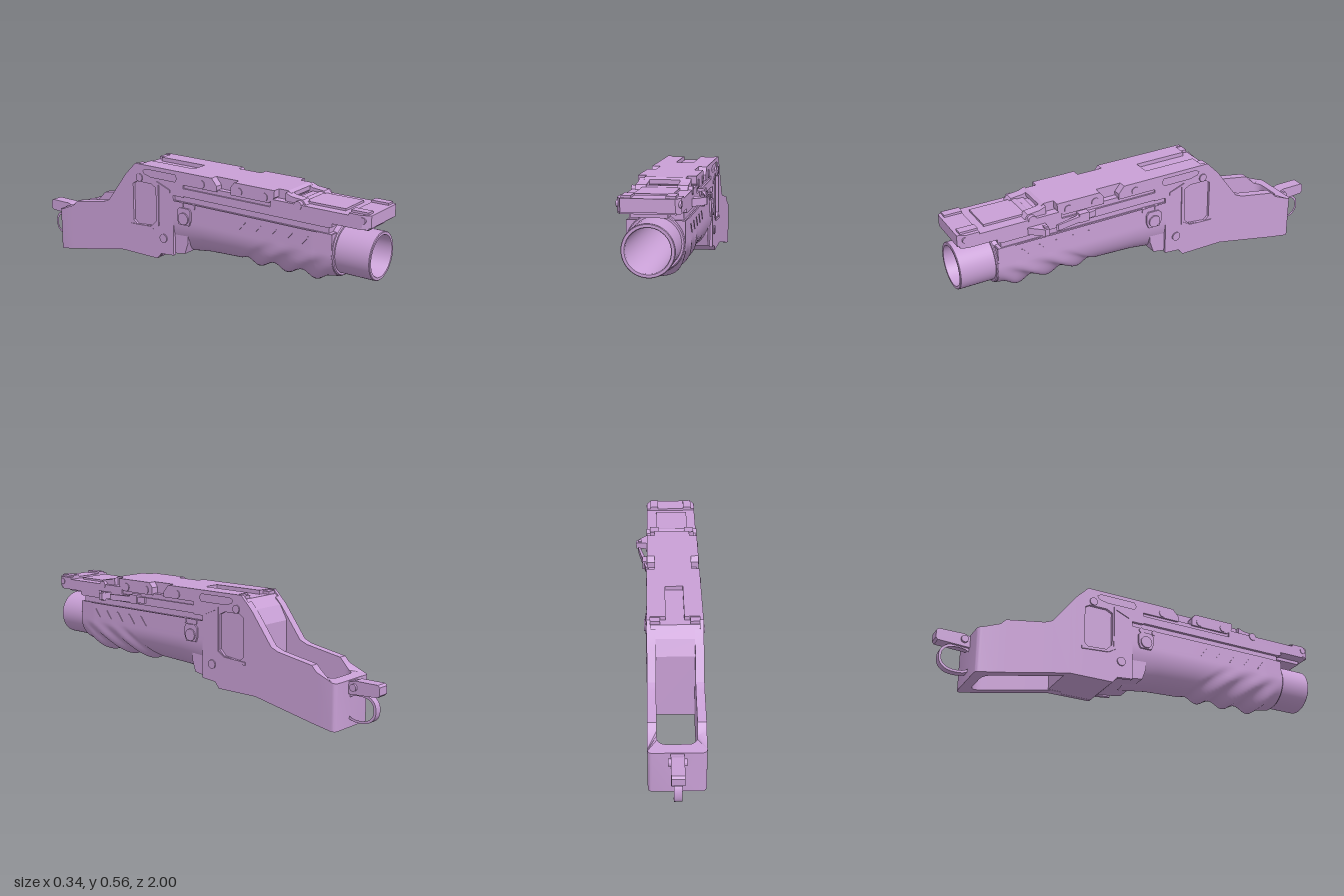
import * as THREE from 'three';
import { toCreasedNormals } from 'three/addons/utils/BufferGeometryUtils.js';

const body = new THREE.MeshStandardMaterial({ color: 0xc9a0d6 });
body.name = 'mauve body';
const round = new THREE.MeshStandardMaterial({ color: 0xa3a8dc });
round.name = 'pale blue round';

const HALF = 0.131; // half width of the housing

export function createModel() {
  const model = new THREE.Group();
  model.name = 'launcher';
  model.position.x = -0.024;

  const add = (name, geo, mat = body) => {
    const m = new THREE.Mesh(geo, mat);
    m.name = name;
    model.add(m);
    return m;
  };
  const box = (name, x0, x1, y0, y1, z0, z1) => {
    const g = new THREE.BoxGeometry(x1 - x0, y1 - y0, z1 - z0);
    add(name, g.translate((x0 + x1) / 2, (y0 + y1) / 2, (z0 + z1) / 2));
  };
  const boxPair = (name, x0, x1, ...r) => {
    box(name, x0, x1, ...r);
    box(name, -x1, -x0, ...r);
  };
  const path = (pts, P) => pts.forEach(([a, b], i) => (i ? P.lineTo(-a, b) : P.moveTo(-a, b)));
  // side profile of [z, y] points, extruded from x0 to x1
  const sideGeo = (pts, x0, x1, holes = []) => {
    const s = new THREE.Shape();
    path(pts, s);
    for (const h of holes) { const p = new THREE.Path(); path(h, p); s.holes.push(p); }
    return new THREE.ExtrudeGeometry(s, { depth: x1 - x0, bevelEnabled: false }).rotateY(Math.PI / 2).translate(x0, 0, 0);
  };
  const side = (name, pts, x0, x1, holes) => add(name, sideGeo(pts, x0, x1, holes));
  const sidePair = (name, pts, x0, x1, holes) => {
    side(name, pts, x0, x1, holes);
    side(name, pts, -x1, -x0, holes);
  };
  // plan outline of [x, z] points, extruded from y0 to y1
  const plan = (name, pts, y0, y1) => {
    const s = new THREE.Shape(pts.map(([x, z]) => new THREE.Vector2(x, -z)));
    add(name, new THREE.ExtrudeGeometry(s, { depth: y1 - y0, bevelEnabled: false }).rotateX(-Math.PI / 2).translate(0, y0, 0));
  };
  const lathe = (name, pts, mat) => {
    const g = new THREE.LatheGeometry(pts.map(([r, z]) => new THREE.Vector2(r, z)), 48);
    add(name, toCreasedNormals(g.rotateX(Math.PI / 2).translate(0, 0.31, 0), 0.6), mat);
  };
  const bolts = (name, z, y, r, reach, sides = 20) => {
    const g = new THREE.CylinderGeometry(r, r, reach * 2, sides).rotateZ(Math.PI / 2);
    add(name, toCreasedNormals(g.translate(0, y, z), 0.7));
  };
  // surface through rows of points; fn(i, j) gives a point
  const grid = (nu, nv, fn) => {
    const pos = [], idx = [];
    for (let j = 0; j <= nv; j++) for (let i = 0; i <= nu; i++) pos.push(...fn(i, j));
    for (let j = 0; j < nv; j++) for (let i = 0; i < nu; i++) {
      const a = j * (nu + 1) + i, c = a + nu + 1;
      idx.push(a, c, a + 1, a + 1, c, c + 1);
    }
    const g = new THREE.BufferGeometry();
    g.setAttribute('position', new THREE.Float32BufferAttribute(pos, 3));
    g.setIndex(idx);
    g.computeVertexNormals();
    return g;
  };
  // piecewise linear lookup over [z, value] pairs with falling z
  const lerpAt = (t, z) => {
    if (z >= t[0][0]) return t[0][1];
    for (let i = 1; i < t.length; i++) if (z >= t[i][0]) {
      const [a, b] = [t[i - 1], t[i]];
      return b[1] + (a[1] - b[1]) * (z - b[0]) / (a[0] - b[0]);
    }
    return t[t.length - 1][1];
  };

  // barrel and the round seated in it
  lathe('barrel', [[0.094, 0.04], [0.094, 0.995], [0.097, 1], [0.109, 1], [0.112, 0.997], [0.112, 0.04]].reverse());
  const dome = [[0.094, 0.02], [0.094, 0.06]];
  for (let i = 1; i <= 8; i++) {
    const a = i / 8 * 1.21;
    dome.push([0.094 * Math.cos(a), 0.06 + 0.094 * Math.sin(a)]);
  }
  lathe('round', [...dome, [0, 0.148]], round);
  lathe('barrelCollar', [[0.125, 0.79], [0.125, 0.825], [0.121, 0.83], [0.1, 0.83]]);

  // handguard with slanted ribs on the lower half
  const depth = [[0.82, 0.128], [0.72, 0.148], [0.3, 0.155], [0.1, 0.165], [-0.07, 0.19]];
  const wide = [[0.82, 0.125], [0.72, HALF], [-0.07, HALF]];
  const NU = 48, NV = 120;
  const guardPoint = (i, j) => {
    const z = 0.82 - 0.89 * j / NV, a = lerpAt(wide, z), b = lerpAt(depth, z);
    if (i < 5 || i > NU - 5) {
      const k = i < 5 ? i : NU - i;
      return [i < 5 ? -a : a, 0.405 - 0.019 * k, z];
    }
    const t = Math.PI * (i - 5) / (NU - 10);
    const c = -Math.cos(t), s = Math.sin(t), y = 0.31 - b * s;
    const q = z - 1.3 * (y - 0.14);
    const inRibs = THREE.MathUtils.smoothstep(q, 0.24, 0.3) * (1 - THREE.MathUtils.smoothstep(q, 0.68, 0.74));
    const wave = 0.5 + 0.5 * Math.cos((q - 0.66) * 2 * Math.PI / 0.15);
    const ends = Math.min(1, (0.82 - z) / 0.08);
    const d = inRibs * ends * Math.min(1, s * 2.5) * (0.03 * wave - 0.008);
    return [c * (a + d * 0.3 - 0.006 * inRibs * ends * s), 0.31 - s * (b + d), z];
  };
  add('handguard', grid(NU, NV, guardPoint));
  const guardFace = new THREE.Shape();
  for (let i = 0; i <= NU; i++) {
    const [x, y] = guardPoint(i, 0);
    i ? guardFace.lineTo(x, y) : guardFace.moveTo(x, y);
  }
  const bore = new THREE.Path();
  bore.absarc(0, 0.31, 0.1, 0, Math.PI * 2);
  guardFace.holes.push(bore);
  add('handguardFace', new THREE.ShapeGeometry(guardFace, 24).translate(0, 0, 0.82));
  box('handguardRoof', -0.124, 0.124, 0.39, 0.405, -0.06, 0.815);
  // short vent slits on the handguard flanks
  for (let i = 0; i < 5; i++) {
    const z = 0.7 - i * 0.085;
    sidePair('ventSlit', [[z, 0.375], [z + 0.008, 0.375], [z - 0.03, 0.33], [z - 0.035, 0.33]], 0.128, 0.134);
  }

  // upper housing with a long side groove
  box('upperCore', -0.117, 0.117, 0.4, 0.48, -0.02, 0.8);
  side('upperRail', [[0.82, 0.44], [0.82, 0.465], [0.8, 0.475], [0, 0.475], [0, 0.435], [0.8, 0.435]], -HALF, HALF);
  side('topPlate', [[0.585, 0.525], [0.585, 0.545], [0.57, 0.555], [0, 0.555], [0, 0.47], [0.54, 0.47]], -0.092, 0.092);
  sidePair('topClamp', [[0.52, 0.555], [0.3, 0.555], [0.28, 0.53], [0.28, 0.492], [0.49, 0.492], [0.52, 0.52]], 0.09, HALF);
  sidePair('topClamp', [[0.17, 0.555], [0, 0.555], [0, 0.492], [0.2, 0.492], [0.2, 0.52]], 0.09, HALF);
  for (const z of [0.465, 0.325, 0.11]) bolts('clampBolt', z, 0.515, 0.02, 0.135);
  boxPair('clampShelf', 0.09, 0.122, 0.47, 0.5, 0, 0.55);

  // front sight base
  plan('frontRail', [[-0.131, 0.5], [0.131, 0.5], [0.131, 0.96], [0.115, 0.99], [-0.115, 0.99], [-0.131, 0.96]], 0.457, 0.512);
  plan('frontNose', [[-0.131, 0.9], [0.131, 0.9], [0.131, 0.965], [0.112, 1], [-0.112, 1], [-0.131, 0.965]], 0.465, 0.522);
  box('frontPanel', -0.085, 0.08, 0.5, 0.522, 0.6, 0.86);
  boxPair('frontEar', 0.07, 0.112, 0.5, 0.532, 0.9, 0.985);
  sidePair('rearEar', [[0.68, 0.51], [0.66, 0.532], [0.6, 0.538], [0.57, 0.55], [0.57, 0.5]], 0.068, 0.115);
  box('frontTongue', -0.077, 0.077, 0.44, 0.47, 0.8, 0.97);
  bolts('sightBolt', 0.645, 0.508, 0.02, 0.134);
  bolts('sightBolt', 0.965, 0.497, 0.016, 0.133);

  // catch and lever on the left flank
  plan('catch', [[0.11, 0.58], [0.189, 0.59], [0.189, 0.612], [0.135, 0.67], [0.11, 0.68]], 0.442, 0.476);
  box('catchPin', 0.16, 0.178, 0.435, 0.484, 0.59, 0.61);
  plan('lever', [[0.12, 0.32], [0.138, 0.33], [0.152, 0.4], [0.178, 0.54], [0.17, 0.548], [0.14, 0.43], [0.12, 0.42]], 0.445, 0.475);
  box('leverPivot', 0.12, 0.155, 0.44, 0.485, 0.37, 0.42);

  // receiver: inner core, outer side plates with slot and pocket
  side('receiverCore', [[0.02, 0.535], [-0.31, 0.535], [-0.36, 0.49], [-0.4, 0.42], [-0.4, 0.086],
    [-0.165, 0.086], [-0.13, 0.12], [0, 0.14], [0.02, 0.2]], -0.118, 0.118);
  sidePair('receiverPlate', [[0, 0.555], [-0.3, 0.555], [-0.33, 0.525], [-0.33, 0.085], [-0.165, 0.085],
    [-0.14, 0.115], [-0.06, 0.122], [-0.06, 0.43], [0, 0.43]], 0.114, HALF, [
    [[-0.05, 0.5], [-0.04, 0.517], [-0.05, 0.535], [-0.23, 0.535], [-0.25, 0.525], [-0.24, 0.51], [-0.2, 0.5]],
    [[-0.17, 0.45], [-0.17, 0.28], [-0.2, 0.25], [-0.29, 0.24], [-0.315, 0.26], [-0.315, 0.45], [-0.29, 0.465], [-0.2, 0.465]],
  ]);
  boxPair('topCheek', 0.043, 0.12, 0.5, 0.555, -0.27, 0);
  boxPair('rearCheek', 0.07, 0.12, 0.5, 0.55, -0.305, -0.27);
  // raised rim around the pocket
  sidePair('pocketRim', [[-0.08, 0.44], [-0.15, 0.47], [-0.15, 0.26], [-0.19, 0.235], [-0.33, 0.225],
    [-0.33, 0.24], [-0.2, 0.247], [-0.162, 0.27], [-0.162, 0.485], [-0.08, 0.455]], 0.128, 0.136);
  sidePair('pivotBoss', [[0.05, 0.32], [0.04, 0.295], [-0.02, 0.295], [-0.03, 0.32], [-0.03, 0.365], [-0.015, 0.38], [0.04, 0.38], [0.05, 0.365]], 0.12, 0.14);
  bolts('pivotBolt', 0.01, 0.328, 0.03, 0.147, 24);
  bolts('pivotPin', 0.06, 0.392, 0.014, 0.135);
  bolts('pivotPin', -0.01, 0.392, 0.014, 0.135);
  bolts('lowerBolt', -0.122, 0.2, 0.022, 0.137);
  bolts('upperBolt', -0.272, 0.487, 0.02, 0.137);

  // rear frame, open through from top to bottom
  const top = [[-0.33, 0.525], [-0.364, 0.49], [-0.48, 0.335], [-0.52, 0.318], [-0.71, 0.285], [-0.76, 0.232], [-0.84, 0.22]];
  const bottom = [[-0.39, 0.085], [-0.8, 0.003], [-0.84, 0]];
  const half = [-0.33, -0.364, -0.39, -0.48, -0.5, -0.52, -0.71, -0.735].map(z => [HALF, z, 0.09, z]);
  for (let i = 0; i <= 5; i++) {
    const a = i / 5 * Math.PI / 2, c = Math.cos(a), s = Math.sin(a);
    half.push([0.111 + 0.02 * c, -0.82 - 0.02 * s, 0.05 + 0.04 * c, -0.75 - 0.04 * s]);
  }
  const stations = [...half, ...half.slice().reverse().map(([a, b, c, d]) => [-a, b, -c, d])];
  add('rearFrame', toCreasedNormals(grid(4, stations.length - 1, (i, j) => {
    const [ox, oz, ix, iz] = stations[j];
    const inner = i === 1 || i === 2;
    const z = inner ? iz : oz;
    return [inner ? ix : ox, lerpAt(i % 4 < 2 ? top : bottom, z), z];
  }), 0.5));

  // rear tang, its pin and the pull ring
  side('tang', [[-0.8, 0.215], [-0.85, 0.215], [-0.87, 0.222], [-0.99, 0.222], [-1, 0.212], [-1, 0.175], [-0.99, 0.165], [-0.8, 0.155]], -0.03, 0.03);
  bolts('tangPin', -0.868, 0.192, 0.017, 0.042);
  const oval = (rz, ry) => Array.from({ length: 36 }, (_, i) => {
    const a = i / 36 * Math.PI * 2, f = v => Math.sign(v) * Math.abs(v) ** 0.85;
    return [-0.893 + rz * f(Math.cos(a)), 0.097 + ry * f(Math.sin(a))];
  });
  add('pullRing', toCreasedNormals(sideGeo(oval(0.085, 0.068), -0.018, 0.018, [oval(0.073, 0.056)]), 0.5));

  return model;
}
